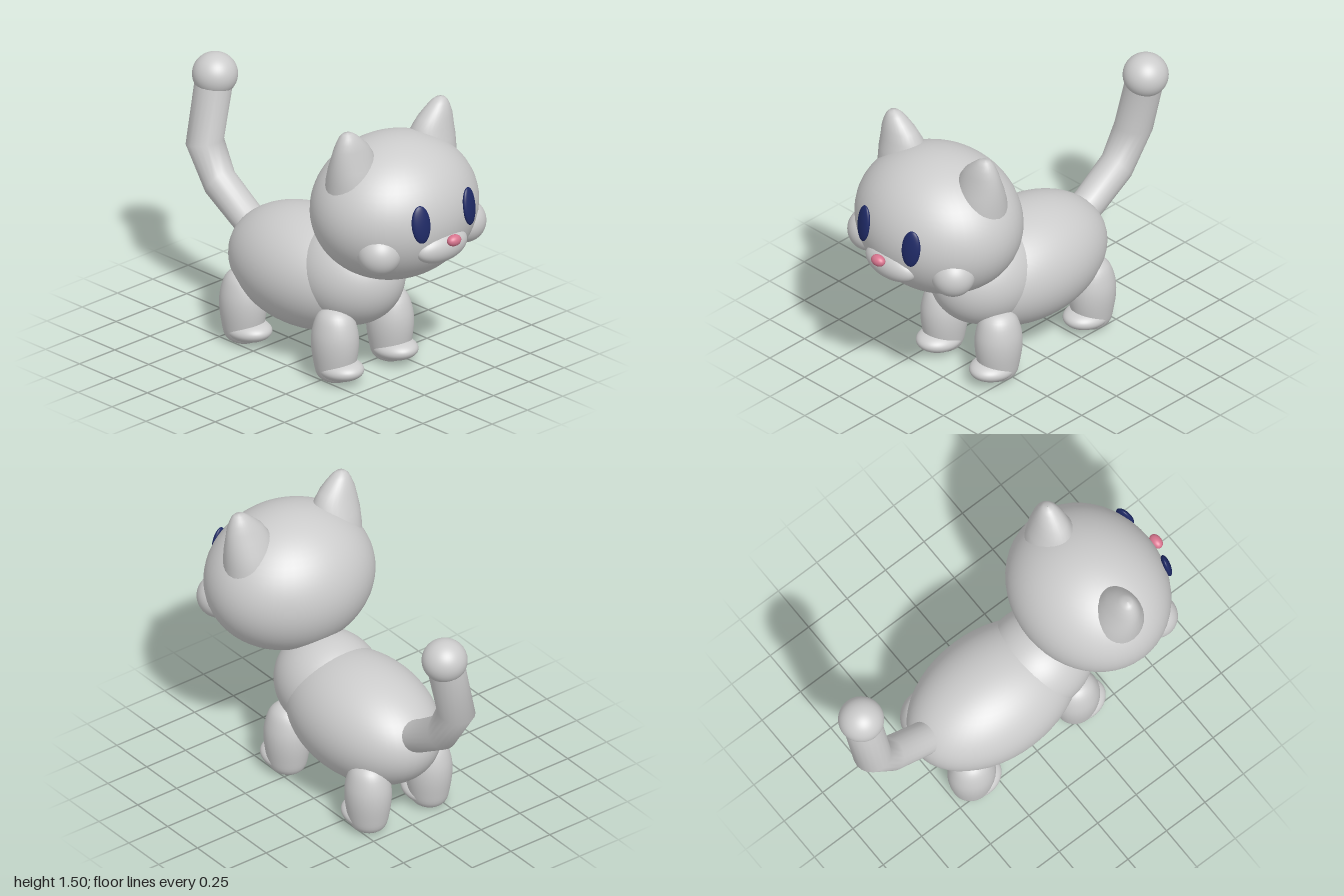
import * as THREE from 'three';

function material(name, color) {
  const m = new THREE.MeshStandardMaterial({ color });
  m.name = name;
  return m;
}

// Smooth skin through elliptical rings: [x, y, z, radiusX, radiusZ, tilt about x]
function loft(rings, sides = 28) {
  const pos = [], index = [];
  rings.forEach(([x, y, z, rx, rz, tilt = 0], i) => {
    for (let j = 0; j < sides; j++) {
      const a = (j / sides) * Math.PI * 2;
      const d = Math.sin(a) * rz;
      pos.push(x + Math.cos(a) * rx, y - Math.sin(tilt) * d, z + Math.cos(tilt) * d);
      if (i < rings.length - 1) {
        const k = (j + 1) % sides, p = i * sides, q = p + sides;
        index.push(p + j, q + j, p + k, p + k, q + j, q + k);
      }
    }
  });
  const g = new THREE.BufferGeometry();
  g.setAttribute('position', new THREE.Float32BufferAttribute(pos, 3));
  g.setIndex(index);
  g.computeVertexNormals();
  return g;
}

export function createModel() {
  const cat = new THREE.Group();
  cat.name = 'cat';
  const fur = material('fur', 0xcccccc);
  const eyeBlue = material('eyeBlue', 0x1f2a66);
  const nosePink = material('nosePink', 0xd8758f);

  const add = (name, geometry, mat) => {
    const mesh = new THREE.Mesh(geometry, mat);
    mesh.name = name;
    cat.add(mesh);
    return mesh;
  };
  const ball = new THREE.SphereGeometry(1, 48, 32);
  const ellipsoid = (name, center, radii, mat = fur) => {
    const mesh = add(name, ball, mat);
    mesh.position.set(...center);
    mesh.scale.set(...radii);
    return mesh;
  };

  // Head and torso
  ellipsoid('head', [0, 1.005, 0.53], [0.462, 0.38, 0.4]);
  ellipsoid('body', [0, 0.462, -0.09], [0.333, 0.315, 0.497]);
  ellipsoid('chest', [0, 0.52, 0.2], [0.27, 0.272, 0.304]);

  // Muzzle and nose
  ellipsoid('muzzle', [0, 0.885, 0.875], [0.167, 0.086, 0.08]).rotation.x = 0.15;
  ellipsoid('nose', [0, 0.943, 0.97], [0.042, 0.03, 0.03], nosePink);

  // Capsule-like leg profile
  const legShape = new THREE.SplineCurve([
    [0, 0.005], [0.05, 0.008], [0.09, 0.04], [0.107, 0.11], [0.118, 0.2],
    [0.114, 0.28], [0.09, 0.36], [0.05, 0.4], [0, 0.41],
  ].map(([r, y]) => new THREE.Vector2(r, y)));
  const legGeometry = new THREE.LatheGeometry(
    legShape.getPoints(28).map((p) => new THREE.Vector2(Math.max(p.x, 0), p.y)), 32);

  for (const [side, s] of [['left', 1], ['right', -1]]) {
    // Eyes lie along the curve of the face
    const eye = ellipsoid(side + 'Eye', [s * 0.17, 1.06, 0.903], [0.052, 0.101, 0.022], eyeBlue);
    eye.rotation.set(-0.13, s * 0.3, 0);

    ellipsoid(side + 'Cheek', [s * 0.3, 0.885, 0.73], [0.115, 0.115, 0.115]);

    // Ears lean outward to a rounded tip
    add(side + 'Ear', loft([
      [0.26, 1.12, 0.5, 0.15, 0.15],
      [0.27, 1.22, 0.505, 0.145, 0.135],
      [0.278, 1.3, 0.51, 0.136, 0.112],
      [0.285, 1.36, 0.515, 0.122, 0.09],
      [0.298, 1.41, 0.52, 0.101, 0.075],
      [0.312, 1.45, 0.523, 0.073, 0.058],
      [0.322, 1.48, 0.525, 0.049, 0.042],
      [0.327, 1.497, 0.526, 0.028, 0.025],
      [0.33, 1.503, 0.526, 0.001, 0.001],
    ].map(([x, ...rest]) => [s * x, ...rest])), fur);

    // Legs with forward paws
    for (const [end, z] of [['Front', 0.295], ['Hind', -0.382]]) {
      const leg = add(side + end + 'Leg', legGeometry, fur);
      leg.position.set(s * 0.195, 0, z);
      leg.scale.z = 1.08;
      ellipsoid(side + end + 'Paw', [s * 0.192, 0.078, z + 0.04], [0.108, 0.058, 0.132])
        .rotation.x = -0.08;
    }
  }

  // Bent tail with a ball at the tip
  add('tail', loft([
    [0, 0.55, -0.5, 0.09, 0.085, -0.98],
    [0, 0.585, -0.565, 0.09, 0.085, -0.98],
    [0, 0.71, -0.755, 0.092, 0.092, -0.98],
    [0.005, 0.9, -0.872, 0.1, 0.1, -0.2],
    [0.075, 1.2, -0.88, 0.1, 0.1, 0],
    [0.08, 1.24, -0.88, 0.09, 0.09, 0],
  ], 20), fur);
  ellipsoid('tailTip', [0.085, 1.25, -0.88], [0.118, 0.115, 0.118]);

  return cat;
}
